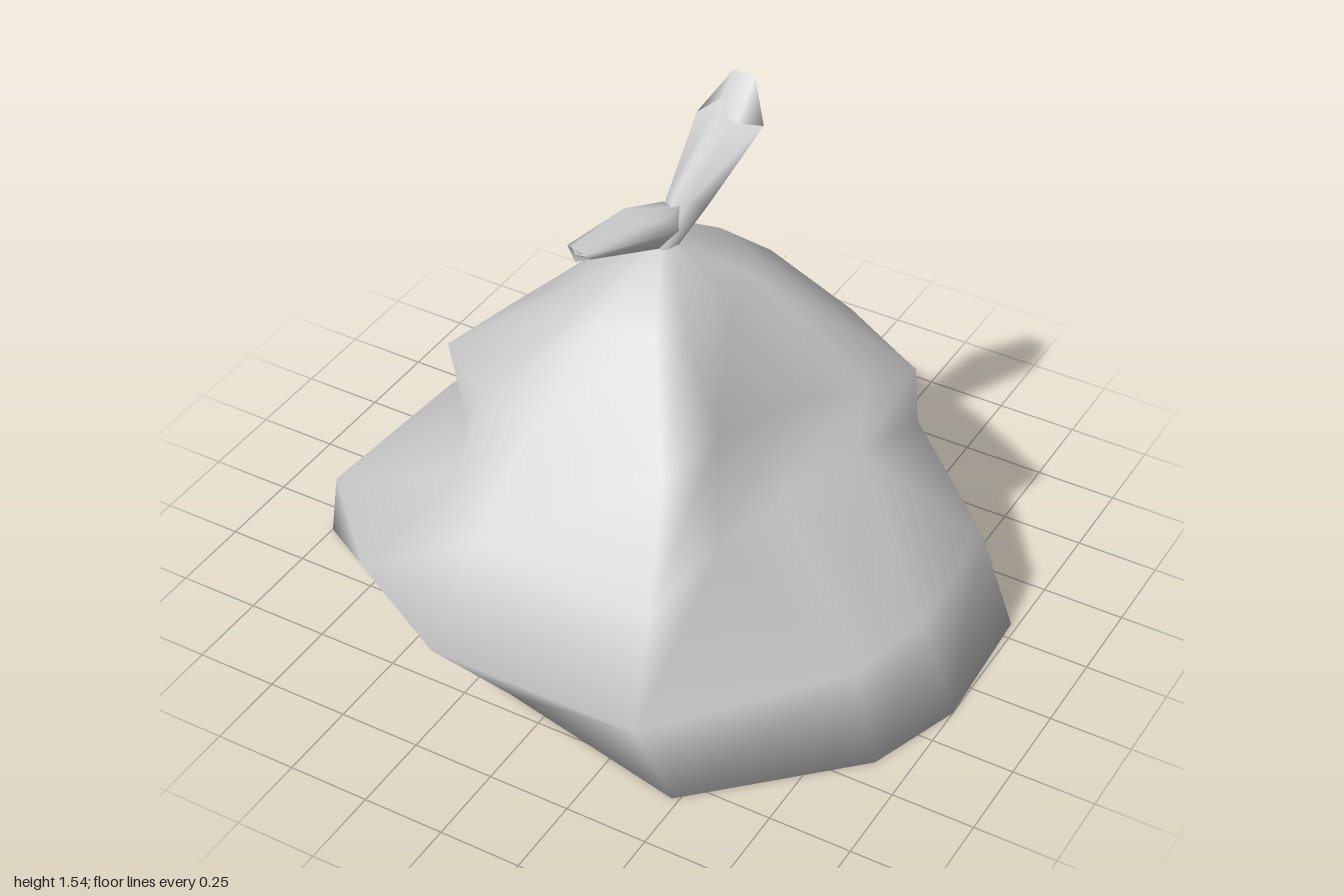
import * as THREE from 'three';

const material = new THREE.MeshStandardMaterial({ color: 0xcccccc, side: THREE.DoubleSide });

// Skins a list of closed cross-sections; optionally caps the first or last one.
function loft(name, rings, { capStart = false, capEnd = false } = {}) {
  const n = rings[0].length;
  const points = rings.flat();
  const index = [];
  for (let r = 0; r < rings.length - 1; r++) {
    for (let i = 0; i < n; i++) {
      const a = r * n + i, b = r * n + (i + 1) % n;
      index.push(a, b, b + n, a, b + n, a + n);
    }
  }
  const last = (rings.length - 1) * n;
  for (let i = 1; i < n - 1; i++) {
    if (capStart) index.push(0, i + 1, i);
    if (capEnd) index.push(last, last + i, last + i + 1);
  }
  const geometry = new THREE.BufferGeometry();
  geometry.setAttribute('position', new THREE.Float32BufferAttribute(points.flat(), 3));
  geometry.setIndex(index);
  geometry.computeVertexNormals();
  const mesh = new THREE.Mesh(geometry, material);
  mesh.name = name;
  return mesh;
}

// Irregular [x, z] outlines, running from the front round the left side.
const FOOT = [[-0.13, 0.69], [0.48, 0.82], [0.9, 0.41], [1, 0.12], [0.98, -0.31], [0.58, -0.57], [0.33, -0.75],
  [-0.06, -0.87], [-0.49, -0.87], [-0.85, -0.66], [-0.96, -0.23], [-1, 0.34], [-0.56, 0.54]];
const HEM = [[-0.25, 0.9], [0.41, 0.9], [0.81, 0.38], [0.88, 0.11], [0.86, -0.33], [0.57, -0.58], [0.33, -0.77],
  [-0.06, -0.9], [-0.48, -0.88], [-0.83, -0.65], [-0.93, -0.23], [-0.97, 0.34], [-0.62, 0.7]];
const WAIST = [[-0.26, 0.68], [0.33, 0.68], [0.35, 0.34], [0.4, 0.05], [0.49, -0.24], [0.57, -0.46], [0.3, -0.68],
  [-0.06, -0.75], [-0.4, -0.72], [-0.62, -0.5], [-0.62, -0.15], [-0.58, 0.2], [-0.46, 0.42]];
const SHOULDER = [[-0.22, 0.42], [0.22, 0.42], [0.25, 0.17], [0.33, -0.1], [0.46, -0.31], [0.56, -0.45], [0.26, -0.62],
  [-0.06, -0.7], [-0.32, -0.68], [-0.5, -0.45], [-0.58, -0.1], [-0.64, 0.19], [-0.42, 0.36]];

function createSack() {
  const at = (outline, height) => outline.map(([x, z]) => [x, height(x, z), z]);
  // Gathered top: ellipses lined up with the shoulder directions
  const gather = (y, cx, cz, rx, rz) => SHOULDER.map(([x, z]) => {
    const a = Math.atan2(z + 0.12, x + 0.09);
    return [cx + rx * Math.cos(a), y, cz + rz * Math.sin(a)];
  });
  return loft('sack', [
    at(FOOT, () => 0),
    at(HEM, (x, z) => (z > 0.6 ? 0.28 : 0.245 + 0.035 * x)),
    at(WAIST, () => 0.5),
    at(SHOULDER, (x, z) => (x > 0.2 && z < 0 ? 0.69 : 0.745)),
    gather(0.985, -0.09, -0.125, 0.23, 0.295),
    gather(1.09, -0.11, -0.14, 0.04, 0.04),
  ], { capStart: true });
}

// Thin upright tail leaning back, widening to a pointed leaf
function createBackTail() {
  const neck = [];
  for (let i = 0; i < 6; i++) {
    const a = Math.PI - i * Math.PI / 3;
    neck.push([-0.11 + 0.04 * Math.cos(a), 1.08, -0.15 + 0.04 * Math.sin(a)]);
  }
  return loft('backTail', [
    neck,
    [[-0.13, 1.22, -0.21], [-0.1, 1.23, -0.195], [-0.05, 1.22, -0.195],
      [-0.01, 1.2, -0.22], [-0.05, 1.2, -0.24], [-0.1, 1.2, -0.24]],
    [[-0.12, 1.41, -0.35], [-0.04, 1.48, -0.36], [0, 1.42, -0.33],
      [0.08, 1.41, -0.38], [0.03, 1.54, -0.415], [-0.04, 1.54, -0.415]],
  ], { capEnd: true });
}

// Shorter tail folded forward, with a shallow groove along its top
function createFrontTail() {
  return loft('frontTail', [
    [[-0.07, 1.13, -0.17], [-0.08, 1.2, -0.19], [-0.1, 1.19, -0.18],
      [-0.13, 1.2, -0.18], [-0.14, 1.13, -0.16], [-0.11, 1.08, -0.12]],
    [[-0.02, 1.2, -0.06], [-0.05, 1.24, -0.06], [-0.11, 1.215, -0.04],
      [-0.17, 1.25, -0.03], [-0.2, 1.22, 0.02], [-0.11, 1.13, -0.02]],
    [[-0.15, 1.21, 0.18], [-0.17, 1.22, 0.19], [-0.2, 1.208, 0.18],
      [-0.22, 1.222, 0.17], [-0.24, 1.215, 0.16], [-0.19, 1.2, 0.2]],
  ], { capEnd: true });
}

export function createModel() {
  const group = new THREE.Group();
  group.name = 'tiedBag';
  group.add(createSack(), createBackTail(), createFrontTail());
  return group;
}
